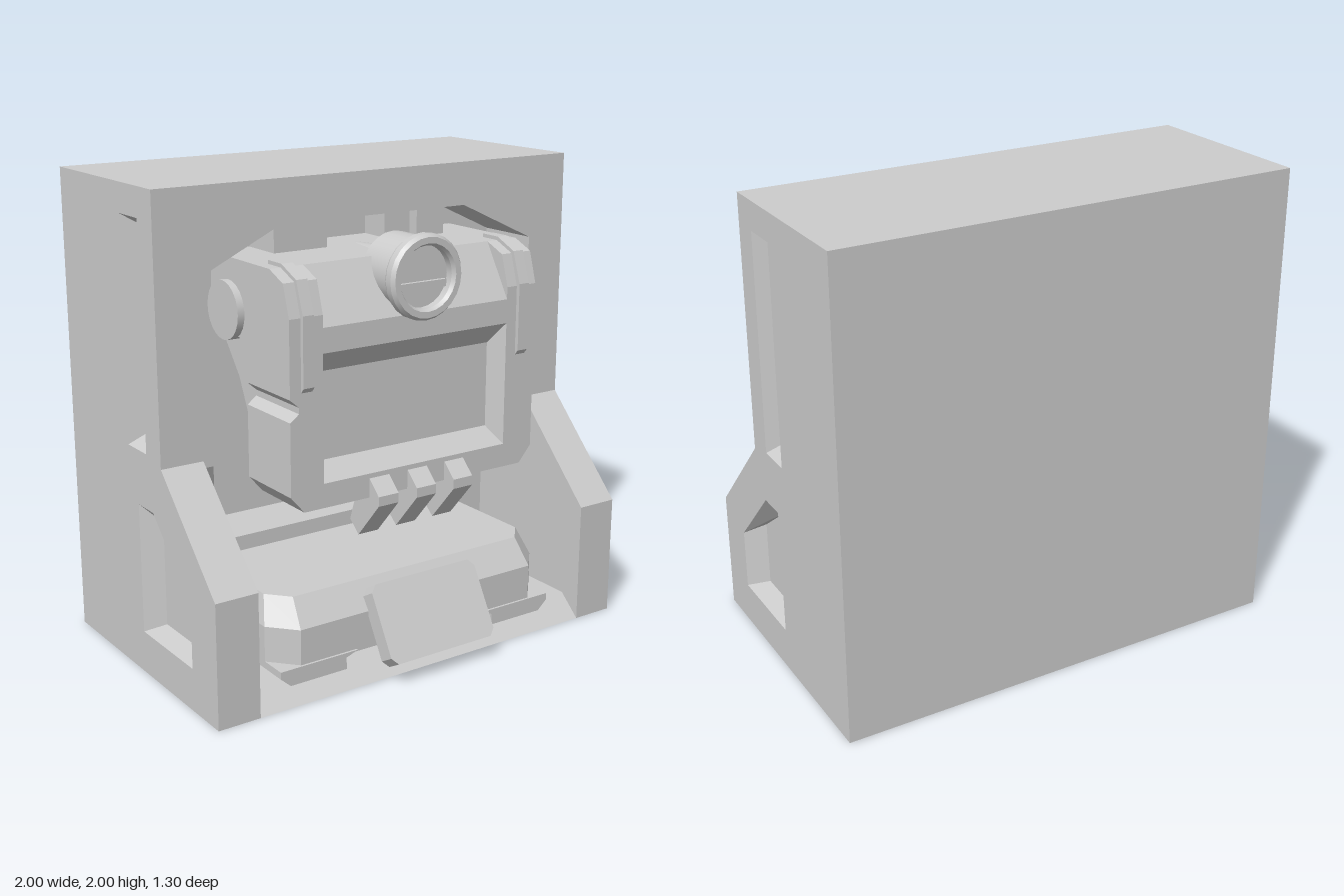
import * as THREE from 'three';

const grey = new THREE.MeshStandardMaterial({ color: 0xcccccc, side: THREE.DoubleSide });
grey.name = 'plain grey';

const path = (pts) => pts.map(([a, b]) => new THREE.Vector2(a, b));
const mirrorX = (pts) => [...pts, ...pts.map(([x, y]) => [-x, y]).reverse()];
const rect = (a, b, c, d) => [[a, b], [c, b], [c, d], [a, d]];

// Outline in x,y pushed from z0 to z1
function slab(pts, z0, z1, holes = []) {
  const shape = new THREE.Shape(path(pts));
  holes.forEach((h) => shape.holes.push(new THREE.Path(path(h))));
  const g = new THREE.ExtrudeGeometry(shape, { depth: z1 - z0, bevelEnabled: false });
  return g.translate(0, 0, z0);
}

// Outline in z,y pushed from x0 to x1
function prism(pts, x0, x1, holes = []) {
  return slab(pts, 0, x1 - x0, holes).rotateY(-Math.PI / 2).translate(x1, 0, 0);
}

// Flat faces joining successive rings of 3D points
function loft(rings, capEnd = false) {
  const out = [];
  const n = rings[0].length;
  for (let r = 0; r < rings.length - 1; r++) {
    for (let i = 0; i < n; i++) {
      const j = (i + 1) % n, a = rings[r], b = rings[r + 1];
      out.push(...a[i], ...a[j], ...b[j], ...a[i], ...b[j], ...b[i]);
    }
  }
  if (capEnd) {
    const e = rings[rings.length - 1];
    for (let i = 1; i < n - 1; i++) out.push(...e[0], ...e[i], ...e[i + 1]);
  }
  const g = new THREE.BufferGeometry();
  g.setAttribute('position', new THREE.Float32BufferAttribute(out, 3));
  g.computeVertexNormals();
  return g;
}

export function createModel() {
  const model = new THREE.Group();
  const add = (name, geometry, parent = model) => {
    const m = new THREE.Mesh(geometry, grey);
    m.name = name;
    parent.add(m);
    return m;
  };
  const box = (x0, x1, y0, y1, z0, z1) =>
    new THREE.BoxGeometry(x1 - x0, y1 - y0, z1 - z0)
      .translate((x0 + x1) / 2, (y0 + y1) / 2, (z0 + z1) / 2);

  // Cabinet side walls with tapered pockets
  const sideProfile = [[-0.65, 0], [0.55, 0], [0.55, 0.52], [0.15, 0.93], [0.15, 2], [-0.65, 2]];
  const pockets = [
    { outer: rect(-0.125, 0.96, 0.03, 1.88), inner: rect(-0.09, 1.01, -0.01, 1.83) },
    {
      outer: [[-0.055, 0.18], [0.355, 0.18], [0.355, 0.44], [0.07, 0.73], [-0.055, 0.73]],
      inner: [[-0.005, 0.21], [0.29, 0.21], [0.29, 0.49], [0.07, 0.65], [-0.005, 0.65]],
    },
  ];
  for (const s of [1, -1]) {
    const span = (a, b) => (s > 0 ? [a, b] : [-b, -a]);
    add('sideWallOuter', prism(sideProfile, ...span(0.92, 1), pockets.map((p) => p.outer)));
    add('sideWallInner', prism(sideProfile, ...span(0.815, 0.92)));
    for (const p of pockets) {
      const ring = (pts, x) => pts.map(([z, y]) => [s * x, y, z]);
      add('sidePocket', loft([ring(p.outer, 1), ring(p.inner, 0.92)]));
    }
  }

  // Cabinet back, with a tapered well low in the alcove
  const wallZ = -0.14;
  const well = rect(-0.735, 0.455, 0.735, 0.79);
  const wellEnd = rect(-0.47, 0.455, 0.47, 0.79);
  add('cabinetBack', box(-0.815, 0.815, 0, 2, -0.65, -0.4));
  add('alcoveWall', slab(rect(-0.815, 0, 0.815, 2), -0.4, wallZ, [well]));
  add('alcoveWell', loft([
    well.map(([x, y]) => [x, y, wallZ]), wellEnd.map(([x, y]) => [x, y, -0.4])]));
  add('archTop', slab(mirrorX([[0.45, 1.82], [0.815, 1.65], [0.815, 2]]), wallZ, 0.15));
  add('floor', prism([[wallZ, 0], [0.55, 0], [0.45, 0.09], [wallZ, 0.09]], -0.815, 0.815));
  for (const [a, b] of [[-0.42, -0.17], [0.15, 0.28], [0.28, 0.42]]) {
    add('upperBlock', box(a, b, 1.65, 1.82, wallZ, b === 0.28 ? 0 : 0.05));
  }

  // Machine housing and framed screen
  const housing = new THREE.Group();
  housing.name = 'housing';
  model.add(housing);
  const outline = mirrorX([[0.54, 0.75], [0.6, 0.82], [0.6, 1.12], [0.56, 1.15],
    [0.56, 1.175], [0.6, 1.21], [0.6, 1.38]]);
  const opening = rect(-0.45, 0.85, 0.45, 1.37);
  const screen = rect(-0.41, 0.92, 0.41, 1.28);
  add('housingBody', slab(outline, 0.13, 0.37), housing);
  add('screenFrame', slab(outline, 0.37, 0.445, [opening]), housing);
  add('screenBezel', loft([
    opening.map(([x, y]) => [x, y, 0.445]), screen.map(([x, y]) => [x, y, 0.371])], true), housing);
  add('housingRear', prism([[wallZ, 1.38], [0, 1.2], [0.13, 0.92], [0.13, 1.38]], -0.56, 0.56), housing);
  add('hood', prism([[wallZ, 1.38], [0.445, 1.38], [0.445, 1.47], [0.31, 1.69], [wallZ, 1.69]],
    -0.45, 0.45), housing);

  // Rounded shoulders, raised straps and side discs
  const shoulder = [[wallZ, 1.38], [0.445, 1.38], [0.445, 1.52], [0.405, 1.65], [0.31, 1.69], [wallZ, 1.69]];
  const strap = [[0.22, 1.6], [0.4, 1.24], [0.445, 1.23], [0.462, 1.25], [0.462, 1.53],
    [0.418, 1.66], [0.315, 1.705], [0.22, 1.705]];
  for (const s of [1, -1]) {
    const span = (a, b) => (s > 0 ? [a, b] : [-b, -a]);
    add('shoulder', prism(shoulder, ...span(0.45, 0.6)), housing);
    add('strap', prism(strap, ...span(0.5, 0.55)), housing);
    add('sideDisc', new THREE.CylinderGeometry(0.12, 0.12, 0.06, 24)
      .rotateZ(Math.PI / 2).translate(s * 0.6, 1.48, 0), housing);
  }

  // Round lamp on the hood
  const lamp = new THREE.Group();
  lamp.name = 'lamp';
  lamp.position.set(0, 1.62, 0);
  model.add(lamp);
  const turned = (pts) => new THREE.LatheGeometry(path(pts), 24).rotateX(Math.PI / 2);
  add('lampNeck', turned([[0.07, 0], [0.08, 0.15], [0.1, 0.21], [0.11, 0.28]]), lamp);
  add('lampBarrel', new THREE.CylinderGeometry(0.152, 0.152, 0.18, 24)
    .rotateX(Math.PI / 2).translate(0, 0, 0.36), lamp);
  const rim = [[0.15, 0.447], [0.165, 0.447], [0.172, 0.46], [0.172, 0.49], [0.16, 0.506],
    [0.135, 0.506], [0.125, 0.49], [0.125, 0.455]];
  for (let i = 0; i < rim.length - 1; i++) add('lampRim', turned([rim[i], rim[i + 1]]), lamp);
  add('lampLens', new THREE.CircleGeometry(0.127, 24).translate(0, 0, 0.458), lamp);
  add('lampSlit', box(-0.11, 0.11, -0.05, -0.02, 0.45, 0.475), lamp);

  // Three hooks below the screen
  const hook = [[0.4, 0.83], [0.447, 0.83], [0.51, 0.77], [0.51, 0.73], [0.37, 0.57], [0.31, 0.62], [0.36, 0.76]];
  for (const x of [-0.187, 0, 0.187]) add('hook', prism(hook, x - 0.048, x + 0.048));

  // Lower bench with bevelled top, and its feet
  const plan = (y, w, corner, side, front) =>
    mirrorX([[w, wallZ], [w, side], [corner, front]]).map(([x, z]) => [x, y, z]);
  add('bench', loft([plan(0.13, 0.685, 0.585, 0.37, 0.48), plan(0.28, 0.685, 0.585, 0.37, 0.48),
    plan(0.39, 0.65, 0.57, 0.31, 0.4)], true));
  for (const s of [1, -1]) {
    add('foot', slab([[s * 0.375, 0.06], [s * 0.64, 0.06], [s * 0.685, 0.1], [s * 0.685, 0.13],
      [s * 0.32, 0.13], [s * 0.375, 0.11]], 0.2, 0.49));
  }
  add('benchMiddle', box(-0.37, 0.37, 0.09, 0.18, wallZ, 0.43));

  // Tilted front plate with clipped corners
  const plate = add('frontPlate', slab(mirrorX([[0.235, -0.165], [0.262, -0.135],
    [0.262, 0.135], [0.235, 0.165]]), -0.075, 0));
  plate.position.set(0, 0.25, 0.572);
  plate.rotation.x = -Math.PI / 6;

  return model;
}
